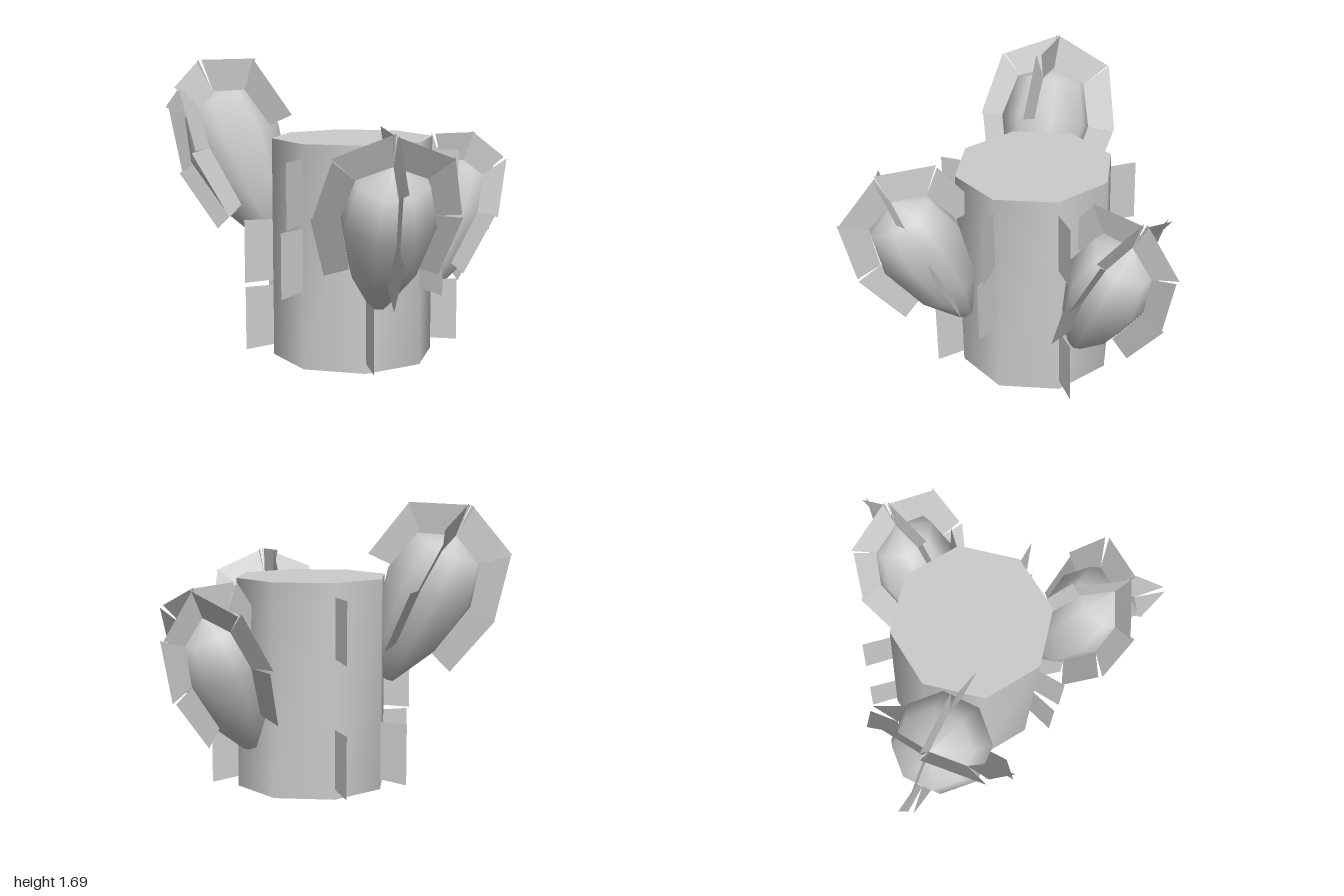
import * as THREE from 'three';
import { toCreasedNormals } from 'three/addons/utils/BufferGeometryUtils.js';

const skin = new THREE.MeshStandardMaterial({ color: 0xcccccc });
const blade = new THREE.MeshStandardMaterial({ color: 0xcccccc, side: THREE.DoubleSide });

// Arm profile from its root to its tip: radius, height along the arm
const BODY = [[0, 0], [0.06, 0], [0.2, 0.26], [0.28, 0.62], [0.215, 0.87], [0, 0.95]];
// Where fins meet the body, and their outer corners
const ROOT = [[0.19, 0.26], [0.265, 0.62], [0.2, 0.87], [0, 0.94]];
const EDGE = [[0.33, 0.21], [0.43, 0.61], [0.34, 1.0], [0, 1.15]];
const TILT = THREE.MathUtils.degToRad(26);

// Flat four-cornered plate
function plate(name, corners) {
  const g = new THREE.BufferGeometry().setFromPoints(corners);
  g.setIndex([0, 1, 2, 0, 2, 3]);
  g.computeVertexNormals();
  const m = new THREE.Mesh(g, blade);
  m.name = name;
  return m;
}

// Point at angle a around a vertical axis, shifted sideways by s
function polar(a, r, y, s = 0) {
  return new THREE.Vector3(
    r * Math.cos(a) - s * Math.sin(a), y, r * Math.sin(a) + s * Math.cos(a));
}

// Eight-sided tapered arm with rows of fins, leaning towards (dx, dz)
function createArm(name, x, y, z, dx, dz, scale) {
  const arm = new THREE.Group();
  arm.name = name;
  const profile = BODY.map(([r, h]) => new THREE.Vector2(r, h));
  const body = new THREE.Mesh(new THREE.LatheGeometry(profile, 8, Math.PI / 8), skin);
  body.name = name + 'Body';
  arm.add(body);

  // Four rows; the one facing the trunk starts higher
  for (let row = 0; row < 4; row++) {
    const a = (row * Math.PI) / 2;
    for (let i = row === 2 ? 1 : 0; i < 3; i++) {
      const s = (i + row) % 2 ? 0.015 : -0.015;
      arm.add(plate('armFin', [
        polar(a, ...ROOT[i]), polar(a, ...ROOT[i + 1]),
        polar(a, ...EDGE[i + 1], s), polar(a, ...EDGE[i], s)]));
    }
  }
  arm.position.set(x, y, z);
  arm.rotation.set(0, -Math.atan2(dz, dx), -TILT, 'YXZ');
  arm.scale.setScalar(scale);
  return arm;
}

export function createModel() {
  const model = new THREE.Group();
  model.name = 'cactus';

  // Eight-sided trunk with smooth sides and flat ends
  const R = 0.46, H = 1.25;
  const stem = new THREE.Group();
  stem.name = 'stem';
  stem.position.set(0.1, 0, 0.13);
  const trunk = new THREE.Mesh(
    toCreasedNormals(new THREE.CylinderGeometry(R, R, H, 8), 1), skin);
  trunk.name = 'trunk';
  trunk.position.y = H / 2;
  stem.add(trunk);

  // Trunk fins: corner number, then levels (0 low, 1 middle, 2 high)
  const fins = [[0, 1, 2], [1, 0], [2, 1, 2], [3, 0, 1], [4, 0], [5, 0, 2], [7, 0, 2]];
  for (const [corner, ...levels] of fins) {
    const a = (corner * Math.PI) / 4;
    for (const level of levels) {
      const y0 = 0.04 + level * 0.38, y1 = y0 + 0.37;
      const s = level === 1 ? 0.022 : -0.018;
      stem.add(plate('trunkFin', [
        polar(a, R - 0.01, y0 + 0.02), polar(a, R - 0.01, y1),
        polar(a, R + 0.16, y1 - 0.005, s), polar(a, R + 0.16, y0, s)]));
    }
  }
  model.add(stem);

  // Three upturned arms
  model.add(createArm('rightArm', -0.285, 0.64, 0.355, -0.985, 0.17, 1));
  model.add(createArm('leftArm', 0.465, 0.39, 0.4, 0.72, 0.69, 0.93));
  model.add(createArm('backArm', 0.3, 0.28, -0.245, 0.22, -0.975, 0.92));
  return model;
}
